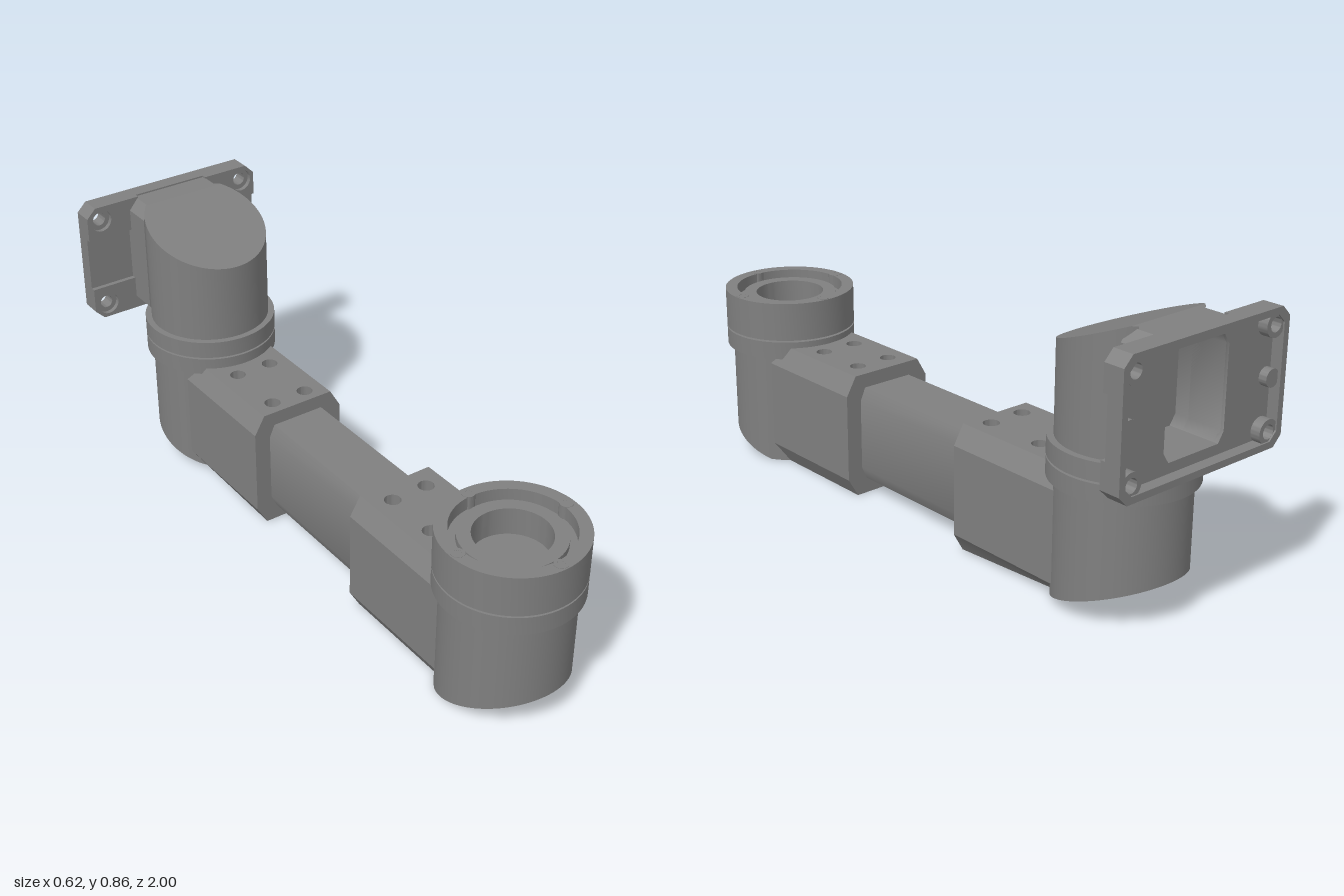
import * as THREE from 'three';
import { toCreasedNormals } from 'three/addons/utils/BufferGeometryUtils.js';

export function createModel() {
  const model = new THREE.Group();
  model.name = 'wallArm';
  const grey = new THREE.MeshStandardMaterial({ color: 0x7f7f7f, side: THREE.DoubleSide });
  grey.name = 'grey';

  const add = (name, geometry, parent = model) => {
    const mesh = new THREE.Mesh(geometry, grey);
    mesh.name = name;
    parent.add(mesh);
    return mesh;
  };

  // Move every vertex by a rule
  const warp = (geometry, rule) => {
    const p = geometry.attributes.position;
    const v = new THREE.Vector3();
    for (let i = 0; i < p.count; i++) {
      rule(v.fromBufferAttribute(p, i));
      p.setXYZ(i, v.x, v.y, v.z);
    }
    return geometry;
  };

  // Rectangle with cut corners
  const octagon = (x0, x1, y0, y1, cx, cy, Kind = THREE.Shape) => new Kind([
    [x0 + cx, y0], [x1 - cx, y0], [x1, y0 + cy], [x1, y1 - cy],
    [x1 - cx, y1], [x0 + cx, y1], [x0, y1 - cy], [x0, y0 + cy],
  ].map(([x, y]) => new THREE.Vector2(x, y)));
  const circle = (x, y, r, Kind = THREE.Path) => new Kind().absarc(x, y, r, 0, Math.PI * 2);

  const extrude = (shape, z0, z1) => toCreasedNormals(
    new THREE.ExtrudeGeometry(shape, { depth: z1 - z0, bevelEnabled: false, curveSegments: 20 }).translate(0, 0, z0), 0.6);

  const lathe = (points, segments = 80) => toCreasedNormals(
    new THREE.LatheGeometry(points.map(([x, y]) => new THREE.Vector2(x, y)), segments), 0.6);
  const disc = (r, y0, y1) => lathe([[0, y0], [r, y0], [r, y1], [0, y1]]);

  // Round post whose lower end is cut at a slant beyond local z = d
  const R = 0.19;
  function slantedPost(name, height, d, rise, open = 0) {
    const post = new THREE.Group();
    post.name = name;
    const slope = rise / (R - d);
    const lift = (v) => { v.y = Math.max(v.y, slope * (v.z - d)); };
    const side = new THREE.CylinderGeometry(R, R, height, 96, 1, true, -Math.PI + open, 2 * (Math.PI - open));
    add(name + 'Side', warp(side.translate(0, height / 2, 0), lift), post);
    const a = Math.asin(d / R);
    [[a, Math.PI - a], [Math.PI - a, 2 * Math.PI + a]].forEach(([from, to], i) => {
      const cap = new THREE.ShapeGeometry(new THREE.Shape().absarc(0, 0, R, from, to), 48).rotateX(Math.PI / 2);
      warp(cap, lift).computeVertexNormals();
      add(name + (i ? 'FlatEnd' : 'SlantedEnd'), cap, post);
    });
    model.add(post);
    return post;
  }

  // Arm block: box core with tapered, drilled plates above and below
  function armBlock(name, z0, z1, holeZ, lift = () => {}) {
    const block = new THREE.Group();
    block.name = name;
    const w = 0.158, taper = 0.035, t = 0.06;
    add(name + 'Core', new THREE.BoxGeometry(2 * w, 0.28, z1 - z0).translate(0, 0.2, (z0 + z1) / 2), block);
    for (const top of [true, false]) {
      const shape = octagon(-w, w, z0, z1, 0, 0);
      for (const z of holeZ) for (const x of [-0.06, 0.06]) shape.holes.push(circle(x, z, 0.025));
      let plate = new THREE.ExtrudeGeometry(shape, { depth: t, bevelEnabled: false, curveSegments: 16 });
      warp(plate, (v) => {
        if (Math.abs(v.x) > 0.1) v.x -= Math.sign(v.x) * taper * v.z / t;
        const z = v.y;
        v.y = top ? 0.34 + v.z : 0.06 - v.z;
        v.z = z;
        v.x *= top ? -1 : 1;
        if (!top) lift(v);
      });
      plate.computeVertexNormals();
      add(name + (top ? 'TopPlate' : 'BottomPlate'), toCreasedNormals(plate, 0.6), block);
    }
    model.add(block);
  }

  // Horizontal arm
  add('armTube', extrude(octagon(-0.105, 0.105, 0.05, 0.355, 0.018, 0.04), -0.24, 0.3));
  armBlock('frontBlock', 0.28, 0.685, [0.35, 0.525]);
  armBlock('backBlock', -0.63, -0.22, [-0.47, -0.27],
    (v) => { v.y = Math.max(v.y, (-0.56 - v.z) * 0.36); });

  // Front swivel joint
  const frontZ = 0.79, backZ = -0.73;
  slantedPost('frontPost', 0.37, -0.095, 0.105).position.z = frontZ;
  add('frontLowerCollar', disc(0.21, 0.363, 0.42)).position.z = frontZ;
  add('frontPivot', disc(0.04, 0.41, 0.435)).position.z = frontZ;
  add('frontCup', lathe([
    [0, 0.426], [0.21, 0.426], [0.21, 0.55], [0.172, 0.55], [0.172, 0.51], [0.15, 0.51],
    [0.15, 0.53], [0.11, 0.53], [0.11, 0.445], [0, 0.445],
  ])).position.z = frontZ;
  for (let i = 0; i < 4; i++) {
    const a = i * Math.PI / 2;
    const boss = add('cupScrewBoss', lathe([
      [0.02, 0.51], [0.02, 0.551], [0.011, 0.551], [0.011, 0.5505], [0, 0.5505],
    ], 20));
    boss.position.set(Math.sin(a) * 0.186, 0, frontZ + Math.cos(a) * 0.186);
  }

  // Back swivel joint
  const backPost = slantedPost('backPost', 0.385, -0.17, 0.13);
  backPost.position.z = backZ;
  backPost.rotation.y = Math.PI;
  add('backLowerCollar', disc(0.21, 0.38, 0.434)).position.z = backZ;
  add('backPivot', disc(0.04, 0.42, 0.45)).position.z = backZ;
  add('backUpperCollar', disc(0.21, 0.44, 0.495)).position.z = backZ;
  const head = slantedPost('headPost', 0.37, -0.13, 0.12, 0.718);
  head.position.set(0, 0.86, backZ);
  head.rotation.z = Math.PI;

  // Hollow neck and pocket behind the wall plate
  const pocketHole = () => octagon(-0.115, 0.115, 0.515, 0.815, 0.02, 0.03, THREE.Path);
  const neck = octagon(-0.158, 0.158, 0.472, 0.853, 0.03, 0.035);
  neck.holes.push(pocketHole());
  add('neck', extrude(neck, -0.955, -0.845));
  const pocket = octagon(-0.125, 0.125, 0.505, 0.825, 0.02, 0.03);
  pocket.holes.push(pocketHole());
  add('pocketWall', extrude(pocket, -0.94, -0.8));
  add('pocketFloor', extrude(octagon(-0.125, 0.125, 0.505, 0.825, 0.02, 0.03), -0.8, -0.795));

  // Wall plate: rim, floor, corner pads and screw bosses
  const plateShape = () => octagon(-0.31, 0.31, 0.465, 0.858, 0.03, 0.03);
  const rim = plateShape();
  rim.holes.push(octagon(-0.29, 0.29, 0.485, 0.838, 0.025, 0.025, THREE.Path));
  add('plateRim', extrude(rim, -1, -0.965));
  const floor = plateShape();
  floor.holes.push(pocketHole());
  for (const x of [-0.262, 0.262]) for (const y of [0.512, 0.81]) floor.holes.push(circle(x, y, 0.021));
  add('plateFloor', extrude(floor, -0.965, -0.95));
  for (const s of [-1, 1]) {
    for (const top of [true, false]) {
      const outer = top ? 0.858 : 0.465, inner = top ? 0.75 : 0.575, cut = top ? -0.03 : 0.03;
      const y = top ? 0.81 : 0.512;
      const pad = new THREE.Shape([
        [0.125, inner], [0.31, inner], [0.31, outer + cut], [0.28, outer], [0.125, outer],
      ].map(([px, py]) => new THREE.Vector2(s * px, py)));
      pad.holes.push(circle(s * 0.262, y, 0.036));
      add('cornerPad', extrude(pad, -0.95, -0.935));
      const boss = circle(s * 0.262, y, 0.036, THREE.Shape);
      boss.holes.push(circle(s * 0.262, y, 0.021));
      add('plateScrewBoss', extrude(boss, -0.995, -0.965));
    }
    add('sideStud', extrude(circle(s * 0.27, 0.66, 0.026, THREE.Shape), -0.99, -0.965));
  }
  return model;
}
